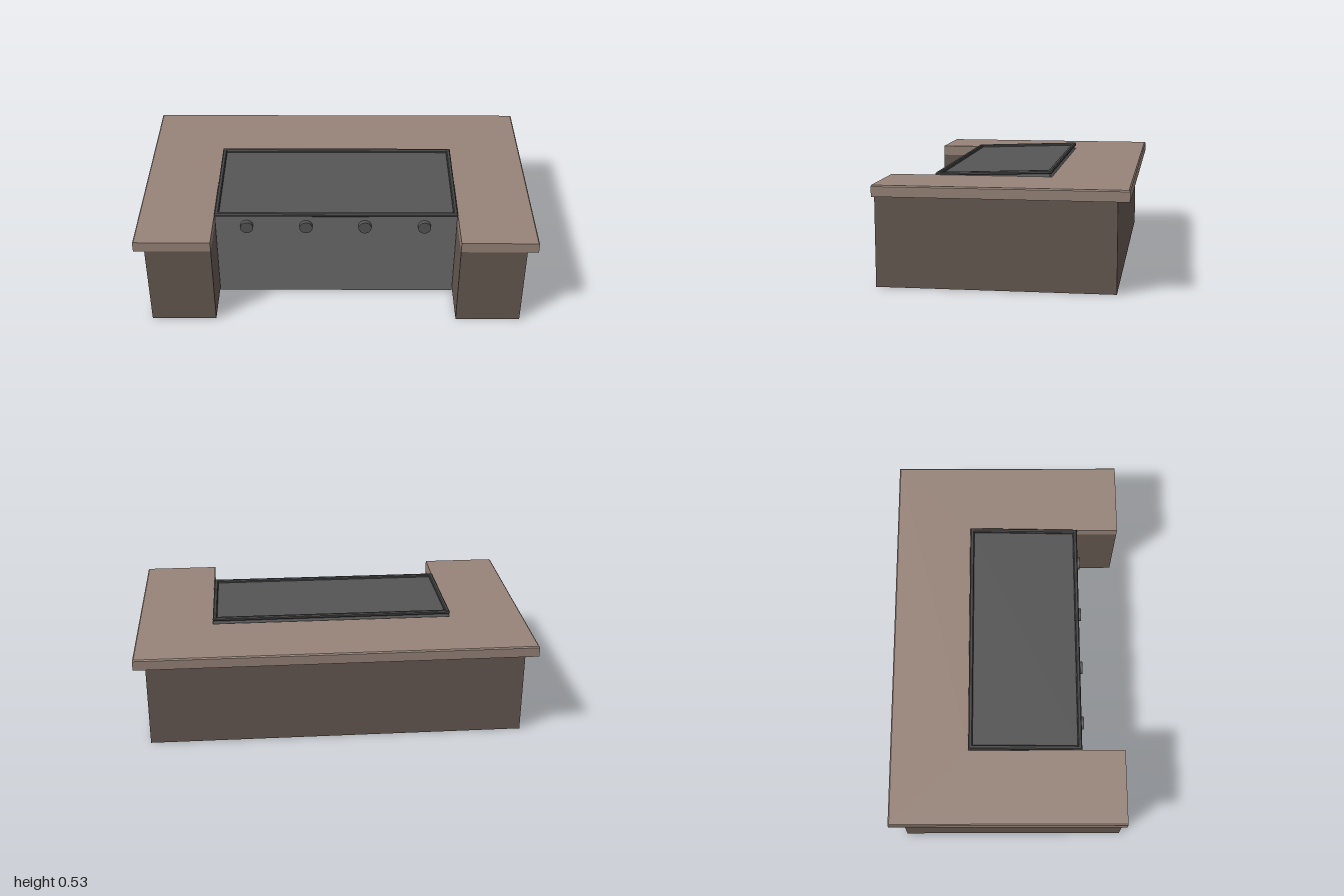
import * as THREE from 'three';

const mat = (color) => new THREE.MeshStandardMaterial({ color, flatShading: true });

function rect(w, d) {
  return [[-w, -d], [w, -d], [w, d], [-w, d]].map(([x, y]) => new THREE.Vector2(x, y));
}

// U-shaped slab, open towards +z, standing from y0 to y1
function uSlab(halfW, back, front, innerW, innerBack, y0, y1, steps = 1) {
  const pts = [
    [-halfW, -front], [-innerW, -front], [-innerW, -innerBack], [innerW, -innerBack],
    [innerW, -front], [halfW, -front], [halfW, -back], [-halfW, -back],
  ].map(([x, y]) => new THREE.Vector2(x, y));
  const geo = new THREE.ExtrudeGeometry(new THREE.Shape(pts), { depth: y1 - y0, steps, bevelEnabled: false });
  return geo.rotateX(-Math.PI / 2).translate(0, y0, 0);
}

export function createModel() {
  const group = new THREE.Group();
  const add = (name, geo, material, parent = group) => {
    const mesh = new THREE.Mesh(geo, material);
    mesh.name = name;
    parent.add(mesh);
    return mesh;
  };
  const stone = mat(0x978479), masonry = mat(0x665952);
  const steel = mat(0x6c6c6c), dark = mat(0x444444), plateGrey = mat(0x555555);

  add('base', uSlab(0.945, -0.54, 0.597, 0.617, -0.19, 0, 0.44), masonry);

  // Countertop: top edge chamfered along the sides and back
  const y0 = 0.44, y1 = 0.494, c = 0.006;
  const top = uSlab(1, -0.597, 0.597, 0.617, -0.2, y0, y1, 2);
  const p = top.attributes.position;
  for (let i = 0; i < p.count; i++) {
    const x = p.getX(i), y = p.getY(i), z = p.getZ(i);
    if (y > y1 - 0.001) {
      if (Math.abs(x) > 0.99) p.setX(i, x - Math.sign(x) * c);
      if (z < -0.59) p.setZ(i, z + c);
    } else if (y > y0 + 0.001) p.setY(i, y1 - c);
  }
  top.computeVertexNormals();
  add('countertop', top, stone);

  // Cooker body with a top that rises towards the back
  const zFront = 0.37, zBack = -0.19, bodyW = 1.23;
  const side = new THREE.Shape([[-zFront, 0], [-zBack, 0], [-zBack, 0.509], [-zFront, 0.489]]
    .map(([x, y]) => new THREE.Vector2(x, y)));
  const body = new THREE.ExtrudeGeometry(side, { depth: bodyW, bevelEnabled: false });
  add('cookerBody', body.translate(0, 0, -bodyW / 2).rotateY(Math.PI / 2), steel);

  // Sloping cooking surface inside a bevelled rim
  const surface = new THREE.Group();
  surface.name = 'cookingSurface';
  surface.position.set(0, 0.499, 0.088);
  surface.rotation.x = Math.atan2(0.02, 0.56);
  group.add(surface);
  const b = 0.005;
  const frame = new THREE.Shape(rect(0.617 - b, 0.289 - b));
  frame.holes.push(new THREE.Path(rect(0.595 + b, 0.267 + b).reverse()));
  const rim = new THREE.ExtrudeGeometry(frame, {
    depth: 0.009, bevelEnabled: true, bevelSize: b, bevelThickness: b, bevelSegments: 1,
  });
  add('rim', rim.rotateX(-Math.PI / 2).translate(0, 0.003, 0), dark, surface);
  add('griddlePlate', new THREE.BoxGeometry(1.2, 0.004, 0.545).translate(0, 0.001, 0), plateGrey, surface);

  // Control knobs
  for (const x of [-0.455, -0.153, 0.147, 0.45]) {
    const knob = new THREE.CylinderGeometry(0.033, 0.033, 0.026, 24).rotateX(Math.PI / 2);
    add('knob', knob, plateGrey).position.set(x, 0.43, 0.379);
  }
  return group;
}
